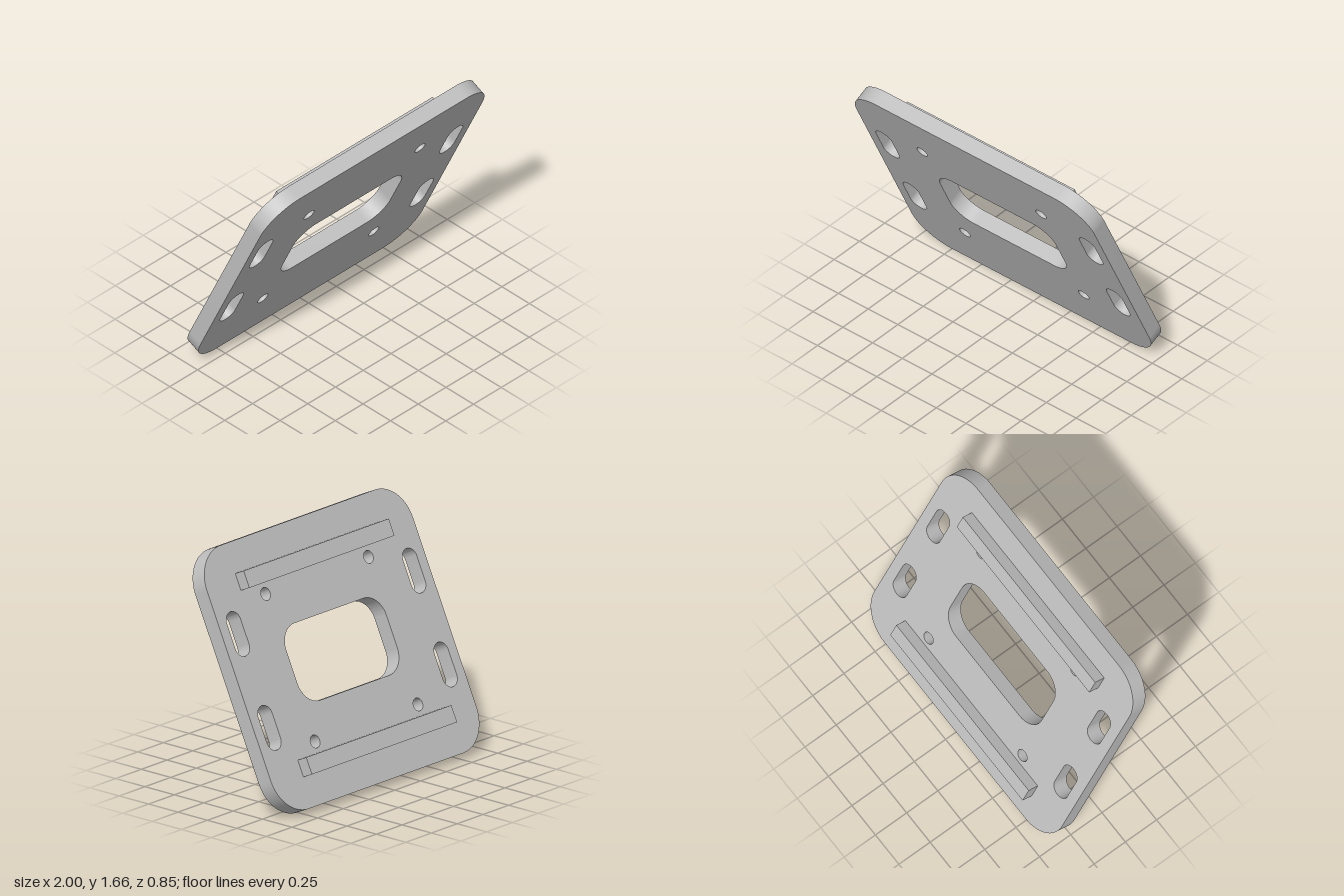
import * as THREE from 'three';
import { toCreasedNormals } from 'three/addons/utils/BufferGeometryUtils.js';

const LENGTH = 1.779, THICK = 0.11, TILT = THREE.MathUtils.degToRad(25);

// Rounded rectangle centred on (cx, cy)
function roundedRect(path, cx, cy, w, h, r) {
  const x = w / 2 - r, y = h / 2 - r, q = Math.PI / 2;
  path.absarc(cx + x, cy + y, r, 0, q);
  path.absarc(cx - x, cy + y, r, q, 2 * q);
  path.absarc(cx - x, cy - y, r, 2 * q, 3 * q);
  path.absarc(cx + x, cy - y, r, 3 * q, 4 * q);
  path.closePath();
  return path;
}

export function createModel() {
  const grey = new THREE.MeshStandardMaterial({ color: 0xbfbfbf });
  grey.name = 'plain grey';

  // Plate outline with central window, side slots and screw holes
  const outline = roundedRect(new THREE.Shape(), 0, 0, 2, LENGTH, 0.25);
  outline.holes.push(roundedRect(new THREE.Path(), 0, 0, 0.97, 0.52, 0.15));
  for (const sx of [-1, 1]) {
    for (const sy of [-1, 1]) {
      outline.holes.push(roundedRect(new THREE.Path(), sx * 0.856, sy * 0.317, 0.132, 0.3, 0.0659));
      outline.holes.push(new THREE.Path().absarc(sx * 0.5, sy * 0.498, 0.043, 0, Math.PI * 2));
    }
  }
  const plateGeometry = new THREE.ExtrudeGeometry(outline, { depth: THICK, bevelEnabled: false, curveSegments: 16 });
  plateGeometry.translate(0, 0, -THICK / 2);
  const plate = new THREE.Mesh(toCreasedNormals(plateGeometry, 0.6), grey);
  plate.name = 'plate';

  const tilted = new THREE.Group();
  tilted.name = 'tiltedPlate';
  tilted.add(plate);

  // Two rails across the back
  for (const [name, y] of [['upperRail', 0.63], ['lowerRail', -0.63]]) {
    const rail = new THREE.Mesh(new THREE.BoxGeometry(1.41, 0.115, 0.08), grey);
    rail.name = name;
    rail.position.set(0, y, -THICK / 2 - 0.04);
    tilted.add(rail);
  }

  // Lean the top edge towards the front and rest the lower edge on the ground
  tilted.rotation.x = TILT;
  tilted.position.y = (LENGTH * Math.cos(TILT) + THICK * Math.sin(TILT)) / 2;

  const model = new THREE.Group();
  model.name = 'mountingPlate';
  model.add(tilted);
  return model;
}
